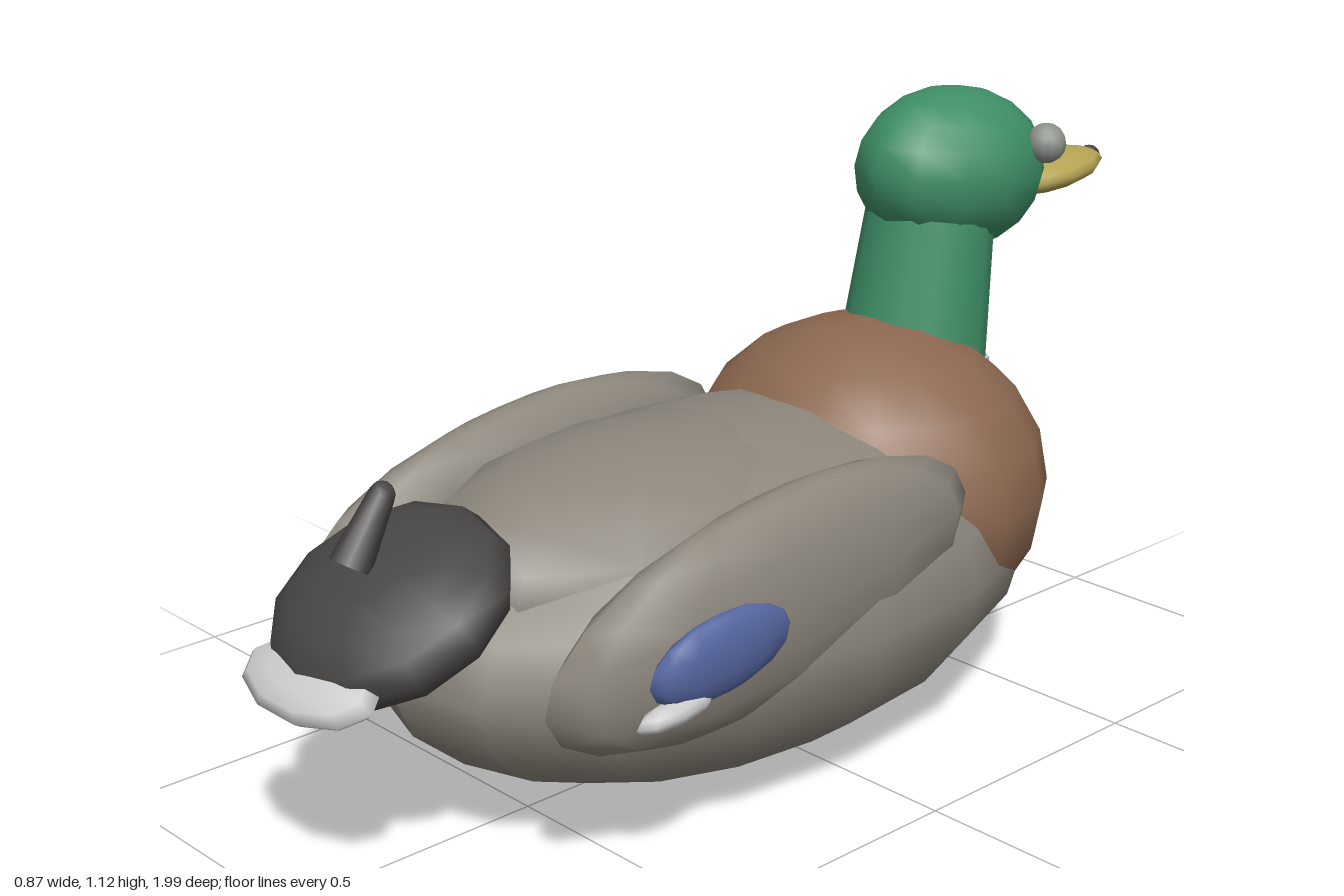
import * as THREE from 'three';

const mat = (color) => new THREE.MeshStandardMaterial({ color });

export function createModel() {
  const model = new THREE.Group();
  model.name = 'duck';

  const grey = mat(0x8c867c);
  const brown = mat(0x8c6850);
  const green = mat(0x3f8f66);
  const yellow = mat(0xb5a455);
  const blue = mat(0x5566a0);
  const dark = mat(0x484644);
  const pale = mat(0xcccccc);
  const eyeGrey = mat(0x8c918a);

  function add(name, geometry, material, position) {
    const mesh = new THREE.Mesh(geometry, material);
    mesh.name = name;
    mesh.position.set(...position);
    model.add(mesh);
    return mesh;
  }

  // Ellipsoid pitched about x; a positive pitch lifts the -z end
  function blob(name, material, position, radii, pitch = 0, sides = 12, rings = 8) {
    const geometry = new THREE.SphereGeometry(1, sides, rings);
    geometry.scale(...radii);
    const mesh = add(name, geometry, material, position);
    mesh.rotation.x = pitch;
    return mesh;
  }

  // Tapered round bar between two points
  function bar(name, material, from, to, r0, r1, sides = 12) {
    const a = new THREE.Vector3(...from);
    const b = new THREE.Vector3(...to);
    const geometry = new THREE.CylinderGeometry(r1, r0, a.distanceTo(b), sides);
    const mid = a.clone().add(b).multiplyScalar(0.5);
    const mesh = add(name, geometry, material, mid.toArray());
    mesh.quaternion.setFromUnitVectors(new THREE.Vector3(0, 1, 0), b.sub(a).normalize());
    return mesh;
  }

  // Body, raised back and breast
  blob('body', grey, [0, 0.315, 0.05], [0.42, 0.31, 0.72], 0, 16, 10);
  blob('back', grey, [0, 0.45, 0.22], [0.3, 0.185, 0.47], 0, 12, 10);
  blob('breast', brown, [0, 0.41, -0.335], [0.36, 0.31, 0.335], 0, 16, 10);

  // Neck with collar
  bar('collar', pale, [0, 0.595, -0.46], [0, 0.635, -0.466], 0.147, 0.147, 14);
  bar('neck', green, [0, 0.6, -0.46], [0, 0.89, -0.505], 0.142, 0.122, 14);

  // Head, bill and bill tip
  blob('head', green, [0, 0.97, -0.56], [0.157, 0.155, 0.21], -0.1, 12, 10);
  blob('bill', yellow, [0, 0.92, -0.84], [0.08, 0.035, 0.15], 0.08);
  blob('billTip', dark, [0, 0.927, -0.978], [0.022, 0.022, 0.022], 0, 8, 6);

  // Paired eyes, wings and wing markings
  for (const s of [1, -1]) {
    blob('eye', eyeGrey, [s * 0.135, 1.02, -0.675], [0.038, 0.038, 0.038]);
    blob('wing', grey, [s * 0.33, 0.42, 0.235], [0.088, 0.185, 0.49], 0.13, 12, 10);
    blob('wingPatch', blue, [s * 0.405, 0.402, 0.415], [0.03, 0.07, 0.157], 0.1);
    blob('wingBar', pale, [s * 0.408, 0.334, 0.52], [0.025, 0.022, 0.082], 0.08, 8, 6);
  }

  // Tail, its pale edge and the upright curled feather
  blob('tail', dark, [0, 0.465, 0.765], [0.22, 0.1, 0.21], 0.51, 12, 8);
  blob('tailEdge', pale, [0, 0.378, 0.925], [0.165, 0.035, 0.08], 0.45, 10, 6);
  bar('tailCurl', dark, [0, 0.55, 0.84], [0, 0.655, 0.772], 0.036, 0.022, 8);
  blob('tailCurlTip', dark, [0, 0.655, 0.772], [0.022, 0.022, 0.022], 0, 8, 6);

  return model;
}
